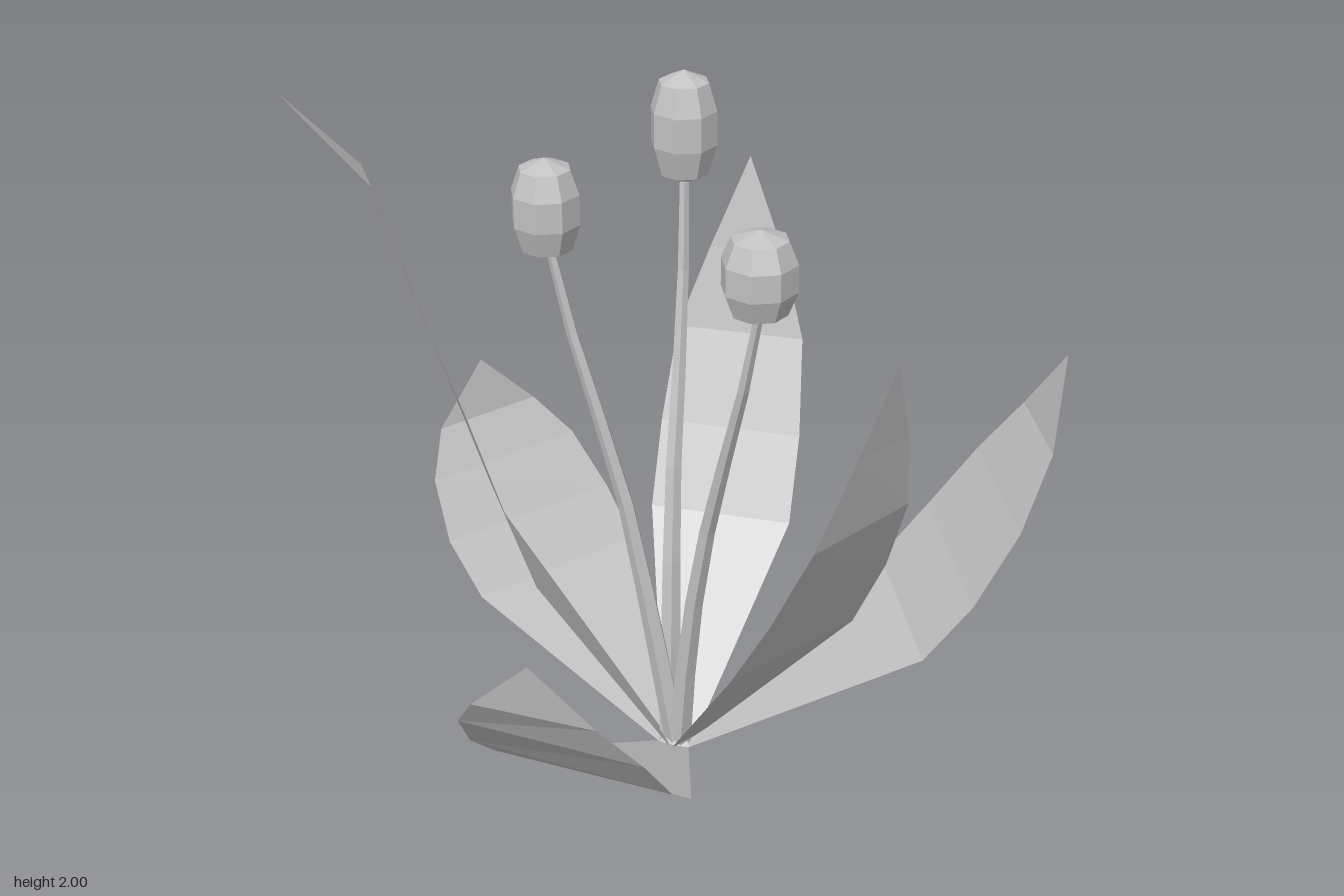
import * as THREE from 'three';

const BASE = new THREE.Vector3(-0.07, 0, -0.115);

// Blade from rows of [y, x1, z1, x2, z2], starting at the crown and closing in a tip [x, y, z].
function leafGeometry(rows, tip) {
  const [, ax, az, bx, bz] = rows[0];
  const across = new THREE.Vector3(bx - ax, 0, bz - az).normalize().multiplyScalar(0.045);
  const out = new THREE.Vector3((ax + bx) / 2, 0, (az + bz) / 2).sub(BASE).normalize().multiplyScalar(0.025);
  const root = BASE.clone().add(out);
  const pts = [root.clone().sub(across).toArray(), root.clone().add(across).toArray()];
  for (const [y, x1, z1, x2, z2] of rows) pts.push([x1, y, z1], [x2, y, z2]);
  pts.push(tip);
  const index = [];
  for (let i = 0; i < rows.length; i++) {
    const a = i * 2;
    index.push(a, a + 1, a + 3, a, a + 3, a + 2);
  }
  const last = rows.length * 2;
  index.push(last, last + 1, last + 2);
  const geo = new THREE.BufferGeometry();
  geo.setAttribute('position', new THREE.Float32BufferAttribute(pts.flat(), 3));
  geo.setIndex(index);
  const flat = geo.toNonIndexed();
  flat.computeVertexNormals();
  return flat;
}

// Tube that narrows along its path
function stemGeometry(points, r0, r1) {
  const curve = new THREE.CatmullRomCurve3(points.map(p => new THREE.Vector3(...p)));
  const segments = 6, sides = 5;
  const geo = new THREE.TubeGeometry(curve, segments, 1, sides);
  const pos = geo.attributes.position, v = new THREE.Vector3();
  for (let i = 0; i < pos.count; i++) {
    const t = Math.floor(i / (sides + 1)) / segments;
    const c = curve.getPointAt(t);
    v.fromBufferAttribute(pos, i).sub(c).multiplyScalar(THREE.MathUtils.lerp(r0, r1, t)).add(c);
    pos.setXYZ(i, v.x, Math.max(0, v.y), v.z);
  }
  geo.computeVertexNormals();
  return geo;
}

// Faceted barrel-shaped bud
function budGeometry(radius, height) {
  const profile = [[0, 0], [0.75, 0.1], [1, 0.36], [1, 0.66], [0.75, 0.9], [0, 1]];
  return new THREE.LatheGeometry(
    profile.map(([r, t]) => new THREE.Vector2(r * radius, (t - 0.5) * height)), 8);
}

export function createModel() {
  const model = new THREE.Group();
  const leafMat = new THREE.MeshStandardMaterial({ color: 0xc2c2c2, flatShading: true, side: THREE.DoubleSide });
  leafMat.name = 'light grey';

  const add = (name, geo, parent = model) => {
    const mesh = new THREE.Mesh(geo, leafMat);
    mesh.name = name;
    parent.add(mesh);
    return mesh;
  };

  // Leaves
  const leaves = [
    ['frontLeaf', [
      [0.29, -0.40, 0.45, 0.14, 0.52], [0.40, -0.42, 0.57, 0.13, 0.66],
      [0.55, -0.40, 0.70, 0.09, 0.77], [0.67, -0.33, 0.79, -0.01, 0.82]], [-0.17, 0.83, 0.835]],
    ['backLeaf', [
      [0.50, 0.15, -0.52, -0.25, -0.52], [0.72, 0.15, -0.63, -0.25, -0.63],
      [0.97, 0.13, -0.735, -0.23, -0.735], [1.20, 0.06, -0.79, -0.15, -0.79]], [-0.05, 1.46, -0.84]],
    ['frontRightLeaf', [
      [0.69, -0.53, -0.06, -0.33, 0.28], [1.00, -0.61, -0.01, -0.42, 0.33],
      [1.30, -0.69, 0.05, -0.51, 0.36], [1.77, -0.76, 0.21, -0.68, 0.345]], [-0.89, 2.0, 0.375]],
    ['backRightLeaf', [
      [0.28, -0.36, -0.69, -0.68, -0.26], [0.40, -0.46, -0.77, -0.80, -0.34],
      [0.54, -0.58, -0.82, -0.87, -0.43], [0.65, -0.69, -0.80, -0.885, -0.54]], [-0.81, 0.81, -0.69]],
    ['backLeftLeaf', [
      [0.39, 0.61, -0.09, 0.40, -0.59], [0.55, 0.73, -0.13, 0.52, -0.64],
      [0.74, 0.83, -0.21, 0.65, -0.66], [0.91, 0.885, -0.35, 0.77, -0.63]], [0.89, 1.13, -0.50]],
    ['frontLeftLeaf', [
      [0.49, 0.42, -0.08, 0.18, 0.28], [0.70, 0.51, -0.04, 0.29, 0.33],
      [0.94, 0.575, 0.05, 0.40, 0.355], [1.18, 0.58, 0.13, 0.49, 0.305]], [0.57, 1.42, 0.25]],
  ];
  for (const [name, rows, tip] of leaves) add(name, leafGeometry(rows, tip));

  // Flowers: a stem path ending under a bud
  const flowers = [
    ['rightFlower', [[-0.07, 0, -0.11], [-0.14, 0.4, -0.11], [-0.22, 0.8, -0.11], [-0.33, 1.17, -0.11], [-0.40, 1.47, -0.11]],
      [-0.405, 1.565, -0.11], 0.09, 0.27],
    ['backFlower', [[-0.09, 0, -0.12], [-0.10, 0.4, -0.17], [-0.115, 0.8, -0.26], [-0.125, 1.2, -0.39], [-0.135, 1.56, -0.45]],
      [-0.137, 1.68, -0.455], 0.089, 0.31],
    ['leftFlower', [[-0.06, 0, -0.11], [-0.02, 0.4, -0.07], [0.05, 0.8, -0.02], [0.14, 1.15, 0.06], [0.20, 1.45, 0.10]],
      [0.198, 1.54, 0.10], 0.096, 0.24],
  ];
  for (const [name, path, at, radius, height] of flowers) {
    const flower = new THREE.Group();
    flower.name = name;
    model.add(flower);
    add('stem', stemGeometry(path, 0.032, 0.012), flower);
    add('bud', budGeometry(radius, height), flower).position.set(...at);
  }

  // Crown where the leaves meet
  const crown = add('crown', new THREE.CylinderGeometry(0.035, 0.055, 0.015, 6));
  crown.position.set(BASE.x, 0.0075, BASE.z);

  return model;
}
